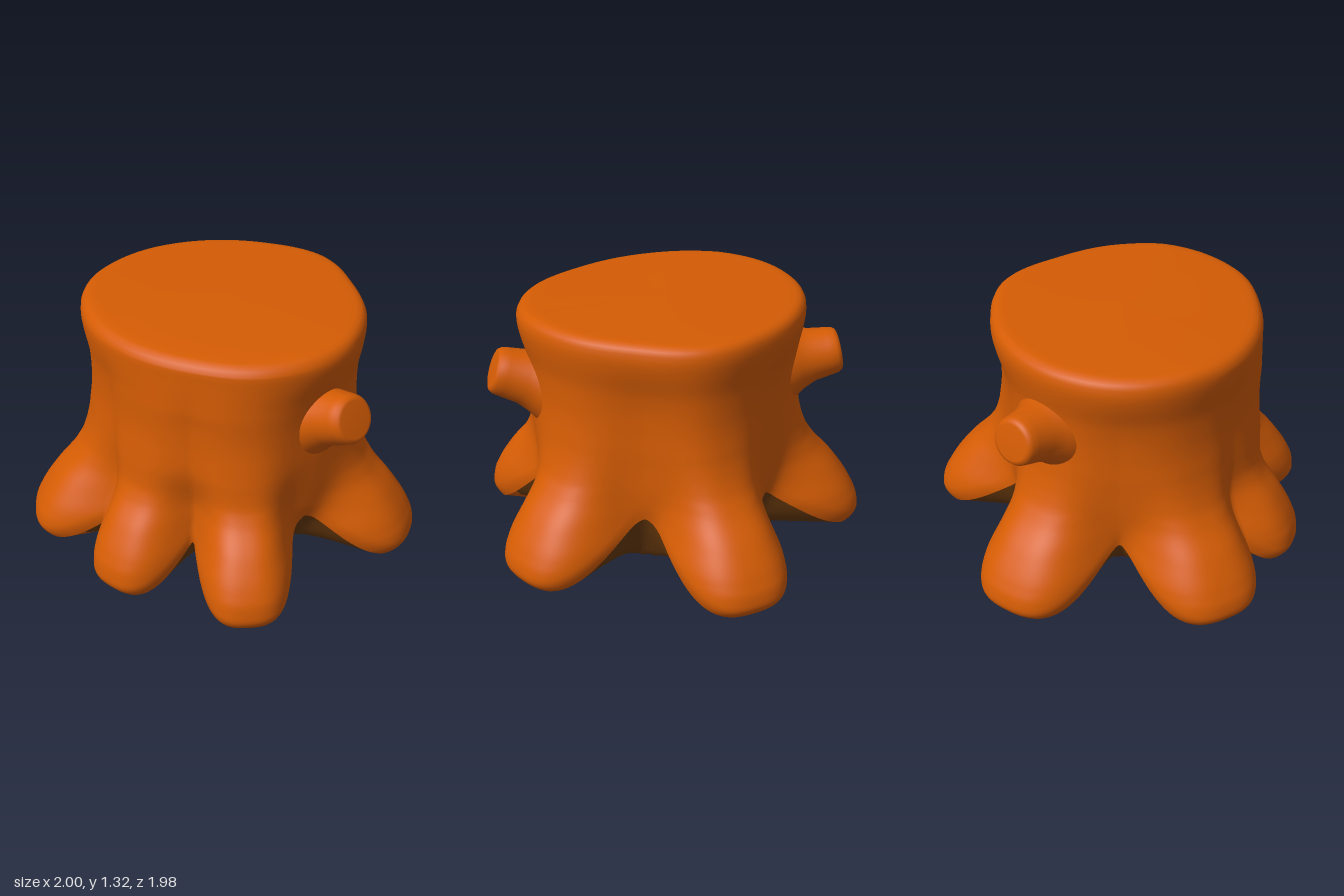
import * as THREE from 'three';

const DEG = Math.PI / 180;
const SEGMENTS = 288;
const { lerp, smoothstep, clamp } = THREE.MathUtils;

// Roots: direction (degrees from +x towards +z), reach, half-width in radians, ground height
const ROOTS = [
  [3, 1.0, 0.43, 0.04], [69, 1.03, 0.33, 0.005], [114, 0.95, 0.36, 0.01],
  [156, 1.06, 0.41, 0.035], [219.5, 1.05, 0.43, 0.03], [290.5, 1.04, 0.41, 0.03],
];
// Radius of the cut top every 30 degrees
const OUTLINE = [0.69, 0.745, 0.74, 0.69, 0.70, 0.735, 0.757, 0.73, 0.69, 0.67, 0.69, 0.65];
// [height, value] profiles: trunk taper and how far the roots spread
const TAPER = [[0, 0.82], [0.2, 0.84], [0.4, 0.89], [0.65, 0.945], [0.85, 0.95], [1.05, 0.96], [1.2, 0.995], [1.26, 1]];
const SPREAD = [[0, 1], [0.1, 1], [0.2, 0.93], [0.35, 0.69], [0.5, 0.34], [0.6, 0.17], [0.7, 0.07], [0.9, 0], [1.3, 0]];

function cubic(p0, p1, p2, p3, t) {
  return p1 + 0.5 * t * (p2 - p0 + t * (2 * p0 - 5 * p1 + 4 * p2 - p3 + t * (3 * (p1 - p2) + p3 - p0)));
}
function outline(angle) {
  const u = angle / (30 * DEG), i = Math.floor(u);
  const at = (k) => OUTLINE[(k + 24) % 12];
  return cubic(at(i - 1), at(i), at(i + 1), at(i + 2), u - i);
}
function profile(table, y) {
  let i = 0;
  while (i < table.length - 2 && y > table[i + 1][0]) i++;
  const at = (k) => table[clamp(k, 0, table.length - 1)][1];
  const t = clamp((y - table[i][0]) / (table[i + 1][0] - table[i][0]), 0, 1);
  return cubic(at(i - 1), at(i), at(i + 1), at(i + 2), t);
}

// Strength of the strongest root in a direction
function rootAt(angle) {
  let best = { w: 0, reach: 1, ground: 0.03 };
  for (const [dir, reach, half, ground] of ROOTS) {
    let d = Math.abs(angle - dir * DEG);
    d = Math.min(d, 2 * Math.PI - d);
    const w = Math.exp(-Math.pow(d / half, 3));
    if (w > best.w) best = { w, reach, ground };
  }
  return best;
}
// Lower edge: on the ground under roots, arched between them
function rimHeight(angle) {
  const { w, ground } = rootAt(angle);
  return lerp(ground, 0.37, (1 - w) ** 1.35);
}
function radiusAt(angle, y) {
  const { w, reach } = rootAt(angle);
  const waist = smoothstep(y, 0.4, 0.7) * (1 - smoothstep(y, 0.9, 1.25));
  const frontSwell = 0.045 * Math.max(0, Math.sin(angle)) ** 4 * smoothstep(y, 0.45, 0.7) * (1 - smoothstep(y, 1.0, 1.25));
  const valley = 0.03 * (1 - w) * waist;
  const trunk = outline(angle) * profile(TAPER, y) + frontSwell - valley;
  const narrowed = w ** (1 + smoothstep(y, 0.2, 0.5));
  const tuck = 0.045 * w * Math.max(0, 1 - (y - rimHeight(angle)) / 0.08) ** 2;
  return trunk + (reach - trunk) * narrowed * profile(SPREAD, y) - tuck;
}

// Closed rings of points joined into a smooth skin; point(row, angle) gives [radius, y]
function skin(rows, point) {
  const positions = [], index = [];
  for (let j = 0; j < rows; j++) {
    for (let i = 0; i < SEGMENTS; i++) {
      const a = (i / SEGMENTS) * 2 * Math.PI;
      const [r, y] = point(j, a);
      positions.push(r * Math.cos(a), y, r * Math.sin(a));
      if (j === rows - 1) continue;
      const p = j * SEGMENTS + i, q = j * SEGMENTS + ((i + 1) % SEGMENTS);
      index.push(p, p + SEGMENTS, q, q, p + SEGMENTS, q + SEGMENTS);
    }
  }
  const g = new THREE.BufferGeometry();
  g.setAttribute('position', new THREE.Float32BufferAttribute(positions, 3));
  g.setIndex(index);
  g.computeVertexNormals();
  return g;
}

// Trunk wall, rounded top edge and cut face
function trunkGeometry() {
  const wall = 56;
  const cap = [[0.995, 1.28], [0.98, 1.302], [0.955, 1.316], [0.92, 1.322], [0.86, 1.324], [0.5, 1.326], [0, 1.328]];
  return skin(wall + cap.length, (j, a) => {
    if (j >= wall) {
      const [f, y] = cap[j - wall];
      const r = outline(a) * f;
      return [r, y - 0.05 * Math.max(0, r * Math.sin(a) - 0.25)];
    }
    const rim = rimHeight(a);
    const t = Math.pow(j / (wall - 1), 1.3);
    const y = rim + t * (1.25 - rim);
    return [radiusAt(a, y), y];
  });
}

// Underside: a shallow hollow, a low ring around it, then webs rising to the arches
const RING = 0.43;
function undersideHeight(r, edge, rim) {
  if (r < RING) return lerp(0.25, 0.045, (r / RING) ** 2.5);
  return lerp(0.045, rim, (r - RING) / (edge - RING));
}
// Where the dark underside stops; the front and front-right roots have bark soles
function soleStart(a, edge) {
  const barkSoled = a > 48 * DEG && a < 182 * DEG;
  return barkSoled ? lerp(edge, Math.min(edge, 0.6), smoothstep(rootAt(a).w, 0.6, 0.85)) : edge;
}
function undersideGeometry(rows, from, to) {
  return skin(rows, (j, a) => {
    const rim = rimHeight(a), edge = radiusAt(a, rim);
    const r = lerp(from(a, edge), to(a, edge), j / (rows - 1));
    return [r, undersideHeight(r, edge, rim)];
  });
}

// Sawn-off branch, flared where it leaves the trunk
function branchStub(name, from, to, material) {
  const start = new THREE.Vector3(...from), axis = new THREE.Vector3(...to).sub(start);
  const L = axis.length();
  const points = [
    [0.25, 0], [0.205, L * 0.25], [0.165, L * 0.42], [0.138, L * 0.6], [0.125, L - 0.06],
    [0.119, L - 0.024], [0.107, L - 0.006], [0.09, L], [0, L],
  ].map(([x, y]) => new THREE.Vector2(x, y));
  const mesh = new THREE.Mesh(new THREE.LatheGeometry(points, 40), material);
  mesh.name = name;
  mesh.position.copy(start);
  mesh.quaternion.setFromUnitVectors(new THREE.Vector3(0, 1, 0), axis.normalize());
  return mesh;
}

export function createModel() {
  const bark = new THREE.MeshStandardMaterial({ color: 0xd55c04 });
  bark.name = 'orange bark';
  const shade = new THREE.MeshStandardMaterial({ color: 0x6c3c0e });
  shade.name = 'dark brown wood';
  const group = new THREE.Group();
  group.name = 'treeStump';

  const part = (name, geometry, material) => {
    const mesh = new THREE.Mesh(geometry, material);
    mesh.name = name;
    group.add(mesh);
  };
  part('trunkAndRoots', trunkGeometry(), bark);
  part('underside', undersideGeometry(40, () => 0, soleStart), shade);
  part('rootSoles', undersideGeometry(10, soleStart, (a, edge) => edge), bark);
  group.add(
    branchStub('frontBranchStub', [0.43, 0.87, 0.28], [0.74, 1.005, 0.485], bark),
    branchStub('backBranchStub', [-0.42, 0.92, -0.34], [-0.69, 0.99, -0.585], bark),
  );
  return group;
}
